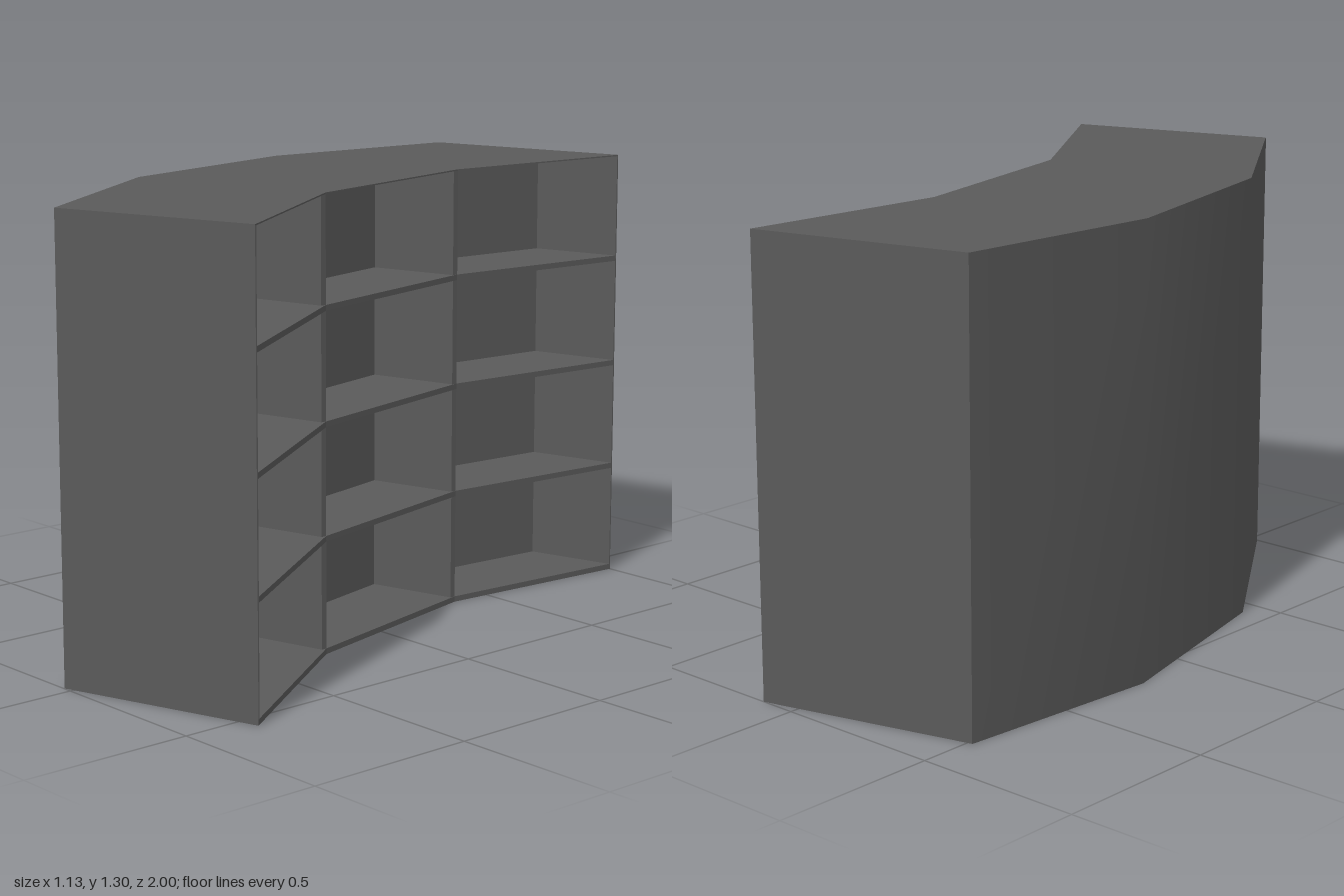
import * as THREE from 'three';

const HEIGHT = 1.3, PITCH = HEIGHT / 4, BOARD = 0.0165, SKIN = 0.004;
// plan corners [x, z]: convex back and concave open front
const back = [[-0.028, 0.998], [-0.412, 0.43], [-0.565, -0.21], [-0.514, -0.838]];
const front = [[0.56, 0.81], [0.203, 0.265], [0.055, -0.375], [0.107, -1]];
const mix = (a, b, t) => [a[0] + (b[0] - a[0]) * t, a[1] + (b[1] - a[1]) * t];
// line of the compartment rear walls
const inner = front.map((p, i) => mix(p, back[i], 0.43));
const shift = (p, dz) => [p[0], p[1] + dz];

// vertical prism over a plan outline
function prism(points, y0, y1) {
  const shape = new THREE.Shape(points.map(([x, z]) => new THREE.Vector2(x, -z)));
  const geo = new THREE.ExtrudeGeometry(shape, { depth: y1 - y0, bevelEnabled: false });
  geo.rotateX(-Math.PI / 2);
  geo.translate(0, y0, 0);
  return geo;
}

// smoothly shaded sheet following the back line
function backSheet() {
  const pos = [], index = [];
  back.forEach(([x, z], i) => {
    pos.push(x - 0.001, 0, z, x - 0.001, HEIGHT, z);
    if (i < back.length - 1) {
      const a = i * 2;
      index.push(a, a + 1, a + 2, a + 1, a + 3, a + 2);
    }
  });
  const geo = new THREE.BufferGeometry();
  geo.setAttribute('position', new THREE.Float32BufferAttribute(pos, 3));
  geo.setIndex(index);
  geo.computeVertexNormals();
  return geo;
}

export function createModel() {
  const group = new THREE.Group();
  group.name = 'curvedShelfUnit';
  const grey = new THREE.MeshStandardMaterial({ color: 0x5a5a5a });
  grey.name = 'dark grey';
  const add = (name, geo) => {
    const mesh = new THREE.Mesh(geo, grey);
    mesh.name = name;
    group.add(mesh);
  };

  // top and bottom boards over the whole plan
  const outline = [...front, ...[...back].reverse()];
  add('bottomBoard', prism(outline, 0, BOARD));
  add('topBoard', prism(outline, HEIGHT - SKIN, HEIGHT));

  // closed rear body with its rounded back
  add('rearBody', prism([...inner, ...[...back].reverse()], BOARD, HEIGHT - SKIN));
  add('backPanel', backSheet());

  // shelves in every bay
  for (let bay = 0; bay < 3; bay++) {
    const plan = [front[bay], front[bay + 1], inner[bay + 1], inner[bay]];
    for (let level = 1; level < 4; level++) {
      add('shelf', prism(plan, level * PITCH, level * PITCH + BOARD));
    }
  }

  // thin end panels and thicker dividers between bays
  const walls = [['endPanel', -SKIN], ['divider', 0.017], ['divider', 0.017], ['endPanel', SKIN]];
  walls.forEach(([name, dz], i) => {
    const plan = [front[i], inner[i], shift(inner[i], dz), shift(front[i], dz)];
    add(name, prism(plan, BOARD, HEIGHT - SKIN));
  });
  return group;
}
